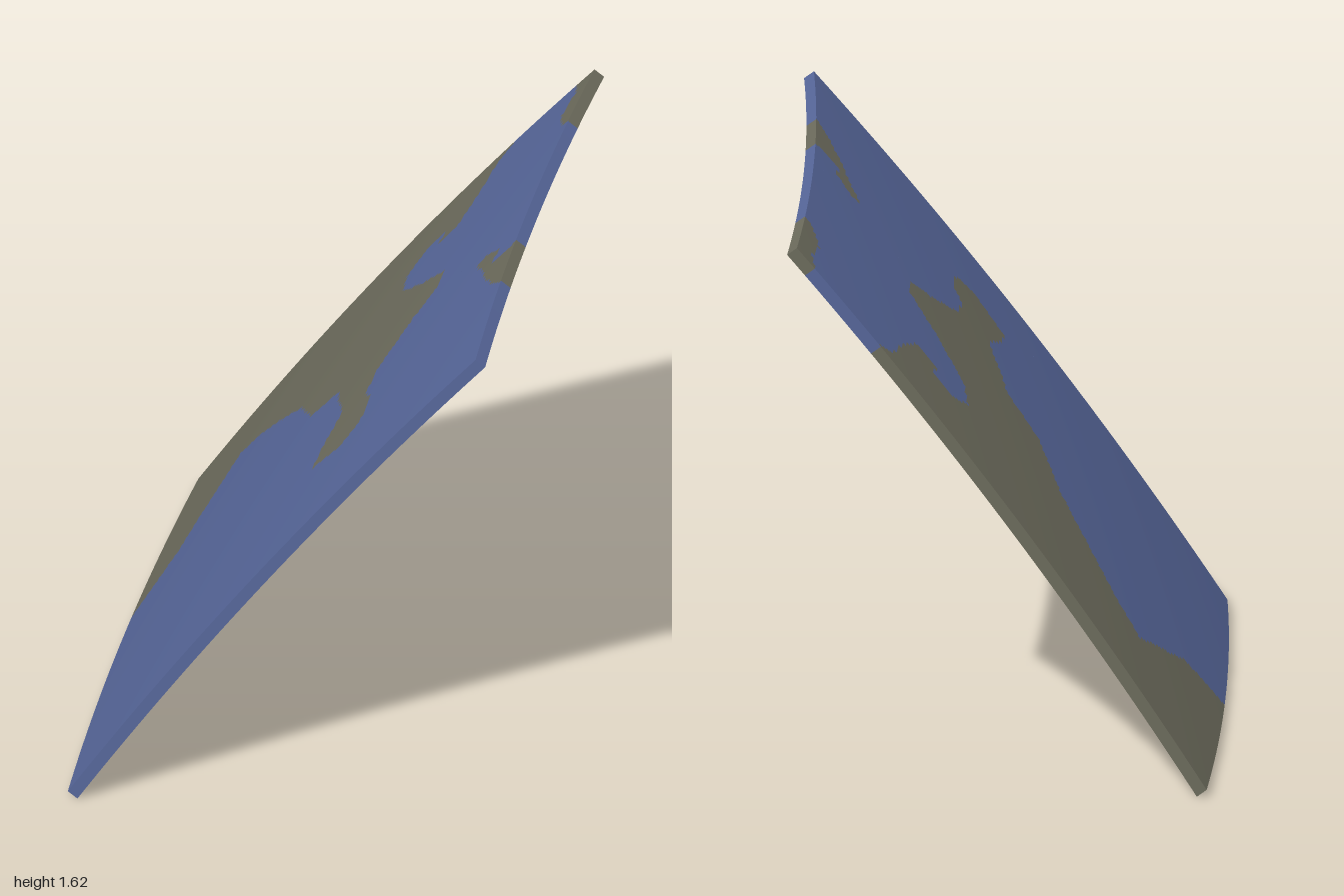
import * as THREE from 'three';
import { mergeVertices } from 'three/addons/utils/BufferGeometryUtils.js';

const blue = new THREE.MeshStandardMaterial({ color: 0x566699, side: THREE.DoubleSide });
blue.name = 'blue paint';
const olive = new THREE.MeshStandardMaterial({ color: 0x6c6b5c, side: THREE.DoubleSide });
olive.name = 'olive paint';

// Corners of the leaning sheet
const A = new THREE.Vector3(-1, 0.02, -0.08), B = new THREE.Vector3(0.425, 0.02, -0.93);
const C = new THREE.Vector3(0.98, 1.62, 0.1), D = new THREE.Vector3(-0.34, 1.62, 0.895);
const OUT = new THREE.Vector3(-0.41, 0.6, -0.69).normalize();
const BACK = new THREE.Vector3(-0.51, 0, -0.86);

// Gently domed sheet: p runs across and q runs upward, both from -1 to 1
function sheet(p, q) {
  const low = A.clone().lerp(B, (p + 1) / 2);
  const high = D.clone().lerp(C, (p + 1) / 2);
  return low.lerp(high, (q + 1) / 2)
    .addScaledVector(BACK, 0.025 * (1 - p * p))
    .addScaledVector(OUT, 0.035 * (1 - q * q));
}

// Olive camouflage patches, outlined in plan (x, z)
const patches = [
  [[-0.22, -0.57], [-0.08, -0.53], [0.03, -0.55], [0.235, -0.58], [0.23, -0.5], [0.18, -0.35],
    [0.14, -0.25], [0.02, -0.1], [0.03, 0], [-0.05, 0.08], [-0.12, 0.16], [-0.24, 0.2],
    [-0.33, 0.24], [-0.32, 0.34], [-0.26, 0.36], [-0.16, 0.31], [-0.12, 0.25], [-0.02, 0.2],
    [0.14, 0.19], [0.22, 0.2], [0.3, 0.16], [0.33, 0.04], [0.38, -0.08], [0.47, -0.15],
    [0.56, -0.15], [0.58, -0.1], [0.52, -0.08], [0.55, -0.03], [0.67, -0.06], [0.8, -0.11],
    [0.9, -0.1], [1.2, -0.2], [0.6, -1.3], [-0.3, -0.8]],
  [[-0.02, 0.7], [0.03, 0.6], [0.08, 0.53], [0.14, 0.46], [0.18, 0.4], [0.21, 0.41],
    [0.2, 0.47], [0.14, 0.5], [0.16, 0.54], [0.22, 0.56], [0.22, 0.7], [0, 0.8]],
  [[0.72, 0.28], [0.74, 0.2], [0.8, 0.14], [0.9, 0.1], [0.96, 0.05], [1.1, 0.05], [1.1, 0.3], [0.75, 0.4]],
];

function inside(poly, x, z) {
  let hit = false;
  for (let i = 0, j = poly.length - 1; i < poly.length; j = i++) {
    const [xi, zi] = poly[i], [xj, zj] = poly[j];
    if ((zi > z) !== (zj > z) && x < xi + ((xj - xi) * (z - zi)) / (zj - zi)) hit = !hit;
  }
  return hit;
}
const isOlive = (v) => patches.some((poly) => inside(poly, v.x, v.z));

// Collects four-sided faces by paint colour into one two-material mesh
class PaintedFaces {
  constructor() { this.lists = [[], []]; }
  quad(a, b, c, d, paintPoint) {
    const list = this.lists[isOlive(paintPoint) ? 1 : 0];
    for (const v of [a, b, c, a, c, d]) list.push(v.x, v.y, v.z);
  }
  mesh(name, smooth) {
    let geo = new THREE.BufferGeometry();
    const [first, second] = this.lists;
    geo.setAttribute('position', new THREE.Float32BufferAttribute(first.concat(second), 3));
    geo.addGroup(0, first.length / 3, 0);
    geo.addGroup(first.length / 3, second.length / 3, 1);
    if (smooth) geo = mergeVertices(geo, 1e-5);
    geo.computeVertexNormals();
    const mesh = new THREE.Mesh(geo, [blue, olive]);
    mesh.name = name;
    return mesh;
  }
}

function makeSheet() {
  const faces = new PaintedFaces(), NP = 130, NQ = 150;
  const at = (i, j) => sheet((2 * i) / NP - 1, (2 * j) / NQ - 1);
  for (let i = 0; i < NP; i++) {
    for (let j = 0; j < NQ; j++) {
      // outer side winds toward the back
      faces.quad(at(i, j), at(i, j + 1), at(i + 1, j + 1), at(i + 1, j), at(i + 0.5, j + 0.5));
    }
  }
  return faces.mesh('panelSheet', true);
}

// Square-section stiffener following the inner side of the sheet
function makeRib(name, upright, position) {
  const faces = new PaintedFaces(), N = 100, half = 0.008, depth = 0.035;
  const centre = position * (1 - half);
  const at = (t, side) => (upright ? sheet(centre + side * half, t) : sheet(t, centre + side * half));
  const section = (t) => {
    const a = at(t, -1), b = at(t, 1);
    const ring = [a, b, b.clone().addScaledVector(OUT, -depth), a.clone().addScaledVector(OUT, -depth)];
    return upright ? ring : ring.reverse();
  };
  for (let i = 0; i < N; i++) {
    const t0 = (2 * i) / N - 1, t1 = (2 * (i + 1)) / N - 1;
    const s0 = section(t0), s1 = section(t1), mid = at((t0 + t1) / 2, 0);
    // the face lying against the sheet is left out
    const hidden = upright ? 0 : 2;
    for (let k = 0; k < 4; k++) {
      if (k === hidden) continue;
      const n = (k + 1) % 4;
      faces.quad(s0[k], s1[k], s1[n], s0[n], mid);
    }
  }
  return faces.mesh(name, false);
}

export function createModel() {
  const group = new THREE.Group();
  group.name = 'camouflagedPanel';
  group.add(makeSheet());
  // Rim and central cross
  const names = [['rightRim', 'uprightRib', 'leftRim'], ['bottomRim', 'crossRib', 'topRim']];
  for (const position of [-1, 0, 1]) {
    group.add(makeRib(names[0][position + 1], true, position));
    group.add(makeRib(names[1][position + 1], false, position));
  }
  return group;
}
